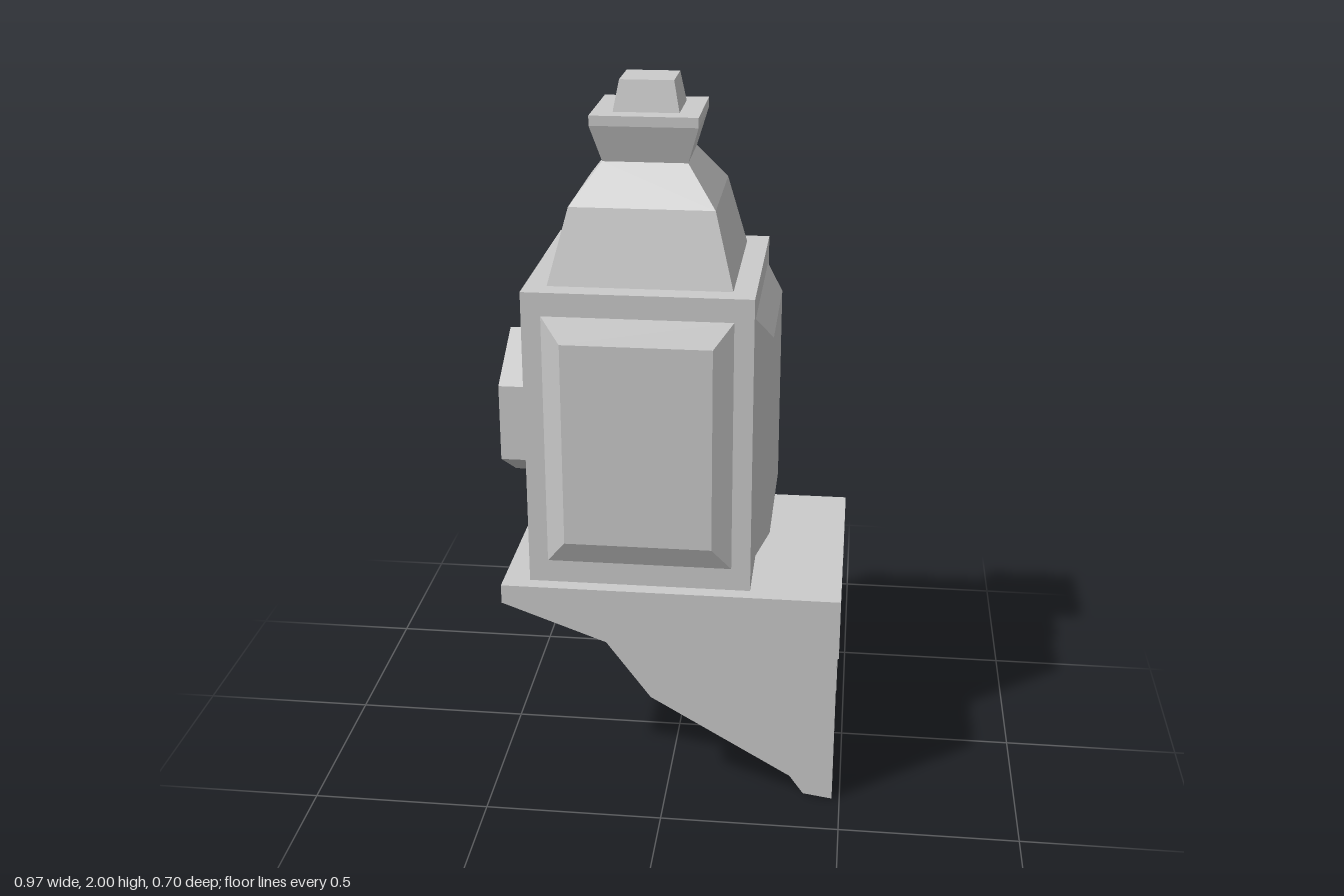
import * as THREE from 'three';

const material = new THREE.MeshStandardMaterial({ color: 0xcccccc, flatShading: true });
const shellMaterial = new THREE.MeshStandardMaterial({ color: 0xcccccc, flatShading: true, side: THREE.DoubleSide });

function add(parent, name, geometry, x = 0, y = 0, z = 0, mat = material) {
  const mesh = new THREE.Mesh(geometry, mat);
  mesh.name = name;
  mesh.position.set(x, y, z);
  parent.add(mesh);
  return mesh;
}

function polygon(points, Type = THREE.Shape) {
  return new Type(points.map(([x, y]) => new THREE.Vector2(x, y)));
}

function rect(w, h, Type) {
  return polygon([[-w, -h], [w, -h], [w, h], [-w, h]], Type);
}

// Pointy-top hexagon outline
function hexagon(radius, Type) {
  const points = [];
  for (let i = 0; i < 6; i++) {
    const a = Math.PI / 6 + i * Math.PI / 3;
    points.push([radius * Math.cos(a), radius * Math.sin(a)]);
  }
  return polygon(points, Type);
}

// Square stack from [half width, height] pairs
function squareLathe(profile) {
  const points = profile.map(([h, y]) => new THREE.Vector2(h * Math.SQRT2, y));
  return new THREE.LatheGeometry(points, 4, Math.PI / 4).toNonIndexed();
}

// Flat wall with a rectangular opening
function frameGeometry(halfW, halfH) {
  const frame = rect(0.31, 0.423);
  frame.holes.push(rect(halfW, halfH, THREE.Path));
  return new THREE.ShapeGeometry(frame);
}

// Bulging panel with sloped rims, open at the back
function panelGeometry(halfW, halfH, depth) {
  const g = new THREE.BoxGeometry(halfW * 2, halfH * 2, depth).translate(0, 0, depth / 2);
  g.setIndex(Array.from(g.index.array).slice(0, -6));
  const p = g.attributes.position;
  for (let i = 0; i < p.count; i++) {
    if (p.getZ(i) < depth / 2) continue;
    p.setX(i, Math.sign(p.getX(i)) * (halfW - 0.053));
    p.setY(i, Math.sign(p.getY(i)) * (halfH - 0.068));
  }
  g.computeVertexNormals();
  return g;
}

export function createModel() {
  const model = new THREE.Group();
  model.name = 'bracketLantern';

  // Bracket: mounting plate and two side brackets
  add(model, 'mountingPlate', new THREE.BoxGeometry(0.948, 0.055, 0.704), 0.009, 0.6075, 0);
  const bracket = new THREE.ExtrudeGeometry(polygon([
    [-0.463, 0.58], [-0.17, 0.472], [-0.045, 0.303], [0.355, 0.068],
    [0.395, 0.012], [0.478, 0], [0.478, 0.455], [0.483, 0.46], [0.483, 0.634], [-0.463, 0.634],
  ]), { depth: 0.103, bevelEnabled: false });
  add(model, 'leftBracket', bracket, 0, 0, 0.249);
  add(model, 'rightBracket', bracket, 0, 0, -0.352);

  // Lantern housing
  const lantern = new THREE.Group();
  lantern.name = 'lantern';
  lantern.position.x = -0.08;
  model.add(lantern);

  // Four framed walls; three carry panels, the -x wall stays open
  const sides = [
    { name: 'front', halfW: 0.257, halfH: 0.358, depth: 0.03 },
    { name: 'left', halfW: 0.264, halfH: 0.356, depth: 0.046 },
    { name: 'back', halfW: 0.257, halfH: 0.358, depth: 0.03 },
    { name: 'open', halfW: 0.238, halfH: 0.325 },
  ];
  sides.forEach(({ name, halfW, halfH, depth }, i) => {
    const wall = new THREE.Group();
    wall.name = name + 'Wall';
    wall.rotation.y = i * Math.PI / 2;
    wall.position.y = 1.058;
    lantern.add(wall);
    add(wall, name + 'Frame', frameGeometry(halfW, halfH), 0, 0, 0.31, shellMaterial);
    if (depth) add(wall, name + 'Panel', panelGeometry(halfW, halfH, depth), 0, 0, 0.31, shellMaterial);
  });
  const deck = new THREE.PlaneGeometry(0.62, 0.62).rotateX(-Math.PI / 2);
  add(lantern, 'housingTop', deck, 0, 1.481, 0, shellMaterial);

  // Stepped roof, flared cap and finial
  add(lantern, 'roof', squareLathe([[0.249, 1.481], [0.196, 1.684], [0.115, 1.79]]));
  add(lantern, 'roofCap', squareLathe([[0.115, 1.79], [0.145, 1.89], [0.145, 1.917], [0, 1.917]]));
  add(lantern, 'finial', squareLathe([[0.089, 1.917], [0.073, 2], [0, 2]]));

  // Hexagonal lens tube reaching through the open wall, closed by a lens
  const tube = hexagon(0.219);
  tube.holes.push(hexagon(0.188, THREE.Path));
  const tubeGeometry = new THREE.ExtrudeGeometry(tube, { depth: 0.22, bevelEnabled: false });
  add(model, 'lensTube', tubeGeometry, -0.265, 1.059, 0).rotation.y = -Math.PI / 2;
  const lens = new THREE.ShapeGeometry(hexagon(0.188));
  add(model, 'lens', lens, -0.325, 1.059, 0, shellMaterial).rotation.y = -Math.PI / 2;

  return model;
}
